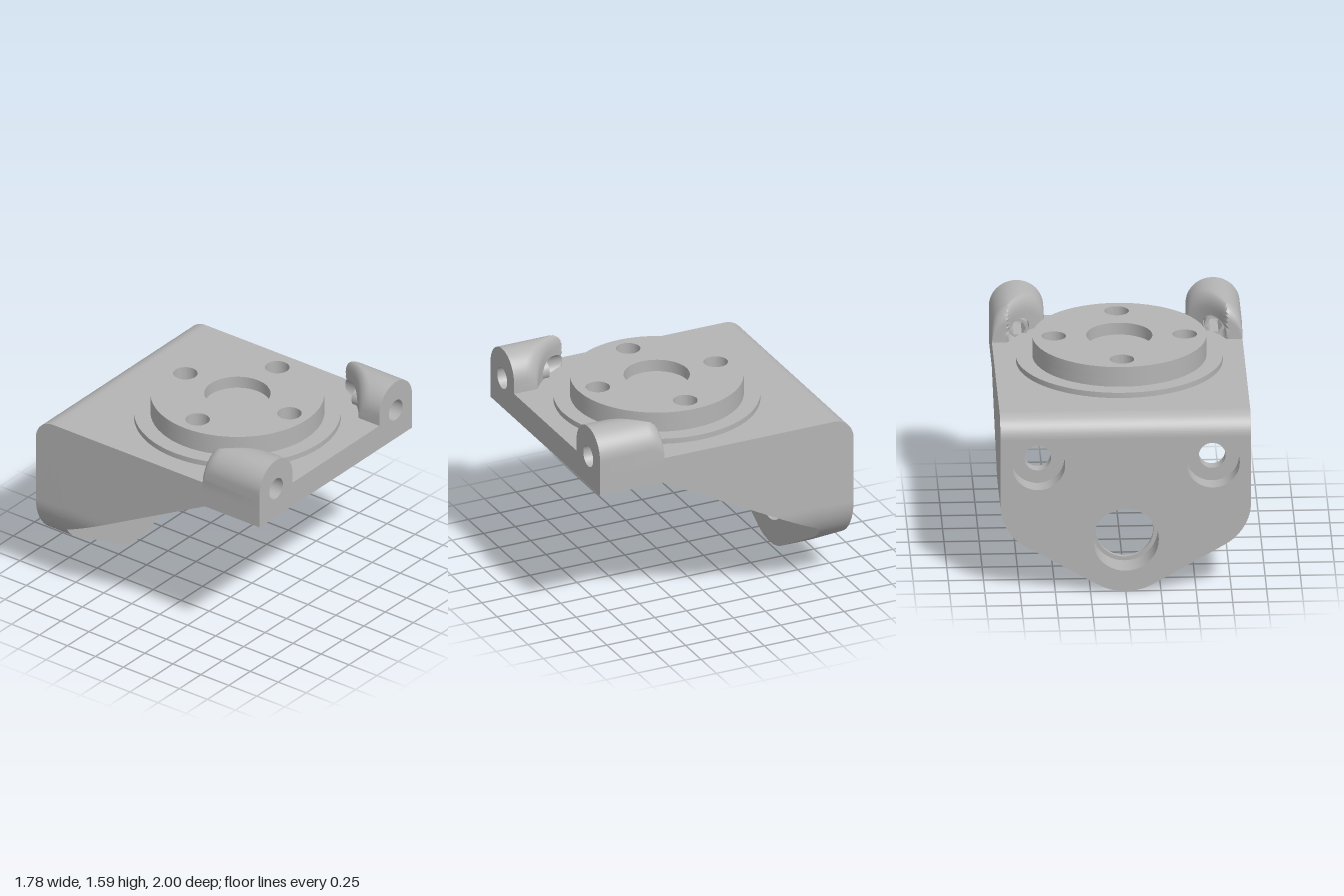
import * as THREE from 'three';
import { toCreasedNormals } from 'three/addons/utils/BufferGeometryUtils.js';

const W = 0.89;              // half width
const BOSS_Z = 0.12;         // centre of the round boss
const EAR = { x: 0.698, y: 1.4, r: 0.192, holeY: 1.36, holeR: 0.08 };
const CORNER = { x: 0.52, y: 0.665, r: 0.37 };

// rear limit of the ears: a cylinder around the boss axis, with a flat end
const earBack = (x) => Math.max(0.49, BOSS_Z + Math.sqrt(Math.max(0, 0.86 ** 2 - x * x)));

const circle = (x, y, r) => new THREE.Path().absarc(x, y, r, 0, Math.PI * 2, false);

function extrude(shape, depth, holes = []) {
  holes.forEach(([x, y, r]) => shape.holes.push(circle(x, y, r)));
  return new THREE.ExtrudeGeometry(shape, { depth, bevelEnabled: false, curveSegments: 32 });
}

// copy on the other side of x = 0, with the corner order turned round
function mirrored(geo) {
  const g = geo.clone().scale(-1, 1, 1);
  g.setIndex(Array.from(geo.index.array).reverse());
  return g;
}

// outline of the upright back plate
function backOutline() {
  const { x, y, r } = CORNER;
  const s = new THREE.Shape();
  s.moveTo(-W, 1.165);
  s.lineTo(-W, y);
  s.absarc(-x, y, r, Math.PI, Math.PI * 4 / 3, false);
  s.absarc(0, 0.4, 0.4, Math.PI * 4 / 3, Math.PI * 5 / 3, false);
  s.absarc(x, y, r, Math.PI * 5 / 3, Math.PI * 2, false);
  s.lineTo(W, 1.165);
  s.closePath();
  return s;
}

// top plate seen from above (second coordinate is -z), leaving room for the ears
function topOutline() {
  const inner = EAR.x - EAR.r;
  const right = [];
  for (let i = 0; i <= 24; i++) {
    const x = W + (inner - W) * i / 24;
    right.push([x, -earBack(x)]);
  }
  right.push([inner, -1]);
  const left = right.map(([x, y]) => [-x, y]).reverse();
  const pts = [[W, 0.77], ...right, ...left, [-W, 0.77]];
  return new THREE.Shape(pts.map(([x, y]) => new THREE.Vector2(x, y)));
}

// tapering side wall whose outer face follows the rounded corner of the back plate
function sideWall() {
  const g = new THREE.BoxGeometry(1, 1, 1, 1, 24, 1);
  const p = g.attributes.position;
  for (let i = 0; i < p.count; i++) {
    const t = p.getY(i) + 0.5;
    const y = 0.46 + t * (1.13 - 0.46);
    const dy = Math.max(0, CORNER.y - y);
    const outer = CORNER.x + Math.sqrt(CORNER.r ** 2 - dy * dy);
    p.setXYZ(i, p.getX(i) > 0 ? outer : 0.79, y, p.getZ(i) > 0 ? -0.77 + t * 1.28 : -0.77);
  }
  return g;
}

// domed ear with a bore: rings run over the front, the outside, the curved back and the bore
function ear() {
  const { x: cx, y: cy, r, holeY, holeR } = EAR;
  const base = 1.13, fillet = 0.1;
  const outline = [];
  for (let i = 0; i < 10; i++) outline.push([cx - r + 2 * r * i / 10, base]);
  for (let i = 0; i < 8; i++) outline.push([cx + r, base + (cy - base) * i / 8]);
  for (let i = 0; i < 36; i++) {
    const a = Math.PI * i / 36;
    outline.push([cx + r * Math.cos(a), cy + r * Math.sin(a)]);
  }
  for (let i = 0; i < 8; i++) outline.push([cx - r, cy + (base - cy) * i / 8]);

  const backZ = (x, y) => {
    const dome = cy + Math.sqrt(Math.max(0, r * r - (x - cx) ** 2));
    const k = Math.min(fillet, Math.max(0, fillet - (dome - y)));
    return earBack(x) + fillet - Math.sqrt(fillet * fillet - k * k);
  };
  // each ring: position between bore (0) and outline (1), and whether it is at the front
  const rings = [[0, true], [1, true]];
  [1, 0.98, 0.94, 0.87, 0.78, 0.66, 0.5, 0.33, 0.16, 0].forEach((s) => rings.push([s, false]));
  const pos = [], index = [], n = outline.length;
  for (const [s, front] of rings) {
    for (const [ox, oy] of outline) {
      const d = Math.hypot(ox - cx, oy - holeY);
      const hx = cx + (ox - cx) / d * holeR, hy = holeY + (oy - holeY) / d * holeR;
      const x = hx + (ox - hx) * s, y = hy + (oy - hy) * s;
      pos.push(x, y, front ? 1 : backZ(x, y));
    }
  }
  for (let j = 0; j < rings.length; j++) {
    const k = (j + 1) % rings.length;
    for (let i = 0; i < n; i++) {
      const m = (i + 1) % n;
      index.push(j * n + i, k * n + i, k * n + m, j * n + i, k * n + m, j * n + m);
    }
  }
  const g = new THREE.BufferGeometry();
  g.setAttribute('position', new THREE.Float32BufferAttribute(pos, 3));
  g.setIndex(index);
  return g;
}

export function createModel() {
  const group = new THREE.Group();
  const grey = new THREE.MeshStandardMaterial({ color: 0xb4b4b4 });
  grey.name = 'grey metal';

  const add = (name, geo) => {
    const mesh = new THREE.Mesh(toCreasedNormals(geo, 0.6), grey);
    mesh.name = name;
    group.add(mesh);
  };
  const flat = (name, shape, y0, y1, holes) =>
    add(name, extrude(shape, y1 - y0, holes).rotateX(-Math.PI / 2).translate(0, y0, 0));
  const disc = (r) => new THREE.Shape().absarc(0, -BOSS_Z, r, 0, Math.PI * 2, false);

  // upright back plate, in layers for the stepped holes
  const backLayer = (name, z0, z1, big, small) => add(name,
    extrude(backOutline(), z1 - z0, [[0, 0.39, big], [-0.62, 0.97, small], [0.62, 0.97, small]])
      .translate(0, 0, z0));
  backLayer('backPlateRear', -1, -0.86, 0.235, 0.19);
  backLayer('backPlateMiddle', -0.86, -0.8, 0.235, 0.095);
  backLayer('backPlateLip', -0.8, -0.77, 0.205, 0.095);

  // rounded edge joining back and top
  const edge = new THREE.Shape();
  edge.moveTo(0.77, 1.165);
  edge.lineTo(1, 1.165);
  edge.absarc(0.845, 1.165, 0.155, 0, Math.PI / 2, false);
  edge.lineTo(0.77, 1.32);
  edge.closePath();
  add('roundedEdge', extrude(edge, 2 * W).rotateY(Math.PI / 2).translate(-W, 0, 0));

  // top plate with counterbores underneath, and the stepped round boss
  const bolts = (r) => [[0.465, 0], [-0.465, 0], [0, 0.465], [0, -0.465]]
    .map(([x, y]) => [x, y - BOSS_Z, r]);
  flat('topPlate', topOutline(), 1.13, 1.32, bolts(0.163));
  flat('bossFlange', disc(0.735), 1.32, 1.36, bolts(0.087));
  flat('bossLower', disc(0.618), 1.36, 1.42, bolts(0.087));
  flat('bossUpper', disc(0.618), 1.42, 1.51, [...bolts(0.087), [0, -BOSS_Z, 0.235]]);

  // mirrored side walls and ears
  const wall = sideWall(), lug = ear();
  add('leftWall', wall);
  add('rightWall', mirrored(wall));
  add('leftEar', lug);
  add('rightEar', mirrored(lug));

  // hollow set screws with a hexagonal socket
  for (const side of [1, -1]) {
    const ring = new THREE.Shape().absarc(0, 0, 0.072, 0, Math.PI * 2, false);
    const hex = Array.from({ length: 6 }, (_, i) =>
      new THREE.Vector2(0.058 * Math.cos(i * Math.PI / 3), 0.058 * Math.sin(i * Math.PI / 3)));
    ring.holes.push(new THREE.Path(hex));
    add(side > 0 ? 'leftSetScrew' : 'rightSetScrew',
      extrude(ring, 0.2).translate(side * EAR.x, EAR.holeY, 0.66));
  }
  return group;
}
